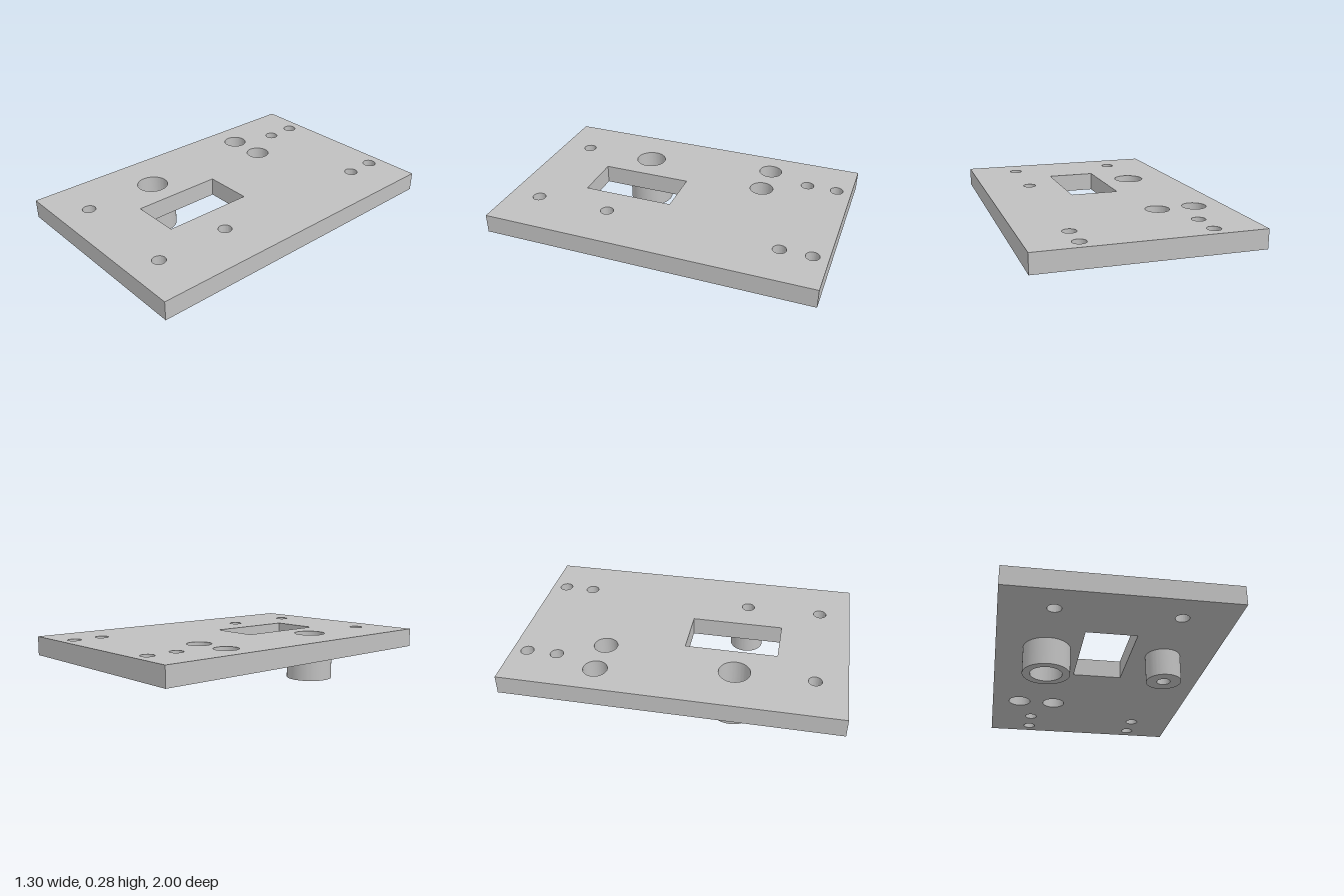
import * as THREE from 'three';
import { toCreasedNormals } from 'three/addons/utils/BufferGeometryUtils.js';

const PLATE_BOTTOM = 0.165;
const PLATE_TOP = 0.28;

// Round hole or outline, with plan coordinates (x, z)
function circle(PathType, x, z, r) {
  const path = new PathType();
  path.absarc(x, z, r, 0, Math.PI * 2, false);
  return path;
}

// Extrudes a plan shape vertically from y = bottom to y = top
function slab(shape, bottom, top) {
  const geometry = new THREE.ExtrudeGeometry(shape, {
    depth: top - bottom, bevelEnabled: false, curveSegments: 40,
  });
  geometry.rotateX(Math.PI / 2); // plan y becomes z, depth runs downwards
  geometry.translate(0, top, 0);
  return toCreasedNormals(geometry, 0.6);
}

function rectangle(PathType, x0, z0, x1, z1) {
  const path = new PathType();
  path.moveTo(x0, z0).lineTo(x1, z0).lineTo(x1, z1).lineTo(x0, z1).closePath();
  return path;
}

export function createModel() {
  const model = new THREE.Group();
  model.name = 'mountingPlate';
  const grey = new THREE.MeshStandardMaterial({ color: 0xc0c0c0 });
  grey.name = 'light grey';

  const add = (name, geometry) => {
    const mesh = new THREE.Mesh(geometry, grey);
    mesh.name = name;
    model.add(mesh);
  };

  // Hollow bosses under the plate; their bores run through the plate
  const bosses = [
    { name: 'largeBoss', x: -0.35, z: 0.347, outer: 0.14, bore: 0.094 },
    { name: 'smallBoss', x: 0.347, z: 0.347, outer: 0.104, bore: 0.04 },
  ];

  // Plate with screw holes, cable holes and a rectangular window
  const plate = rectangle(THREE.Shape, -0.65, -1, 0.65, 1);
  const holes = [
    [-0.235, -0.456, 0.072], [-0.468, -0.456, 0.072],
    [-0.35, 0.811, 0.04], [0.347, 0.811, 0.04],
  ];
  for (const x of [-0.372, 0.37]) {
    for (const z of [-0.908, -0.722]) holes.push([x, z, 0.04]);
  }
  for (const b of bosses) holes.push([b.x, b.z, b.bore]);
  for (const [x, z, r] of holes) plate.holes.push(circle(THREE.Path, x, z, r));
  plate.holes.push(rectangle(THREE.Path, -0.152, 0.02, 0.148, 0.58));
  add('plate', slab(plate, PLATE_BOTTOM, PLATE_TOP));

  for (const b of bosses) {
    const ring = circle(THREE.Shape, b.x, b.z, b.outer);
    ring.holes.push(circle(THREE.Path, b.x, b.z, b.bore));
    add(b.name, slab(ring, 0, PLATE_BOTTOM));
  }

  return model;
}
